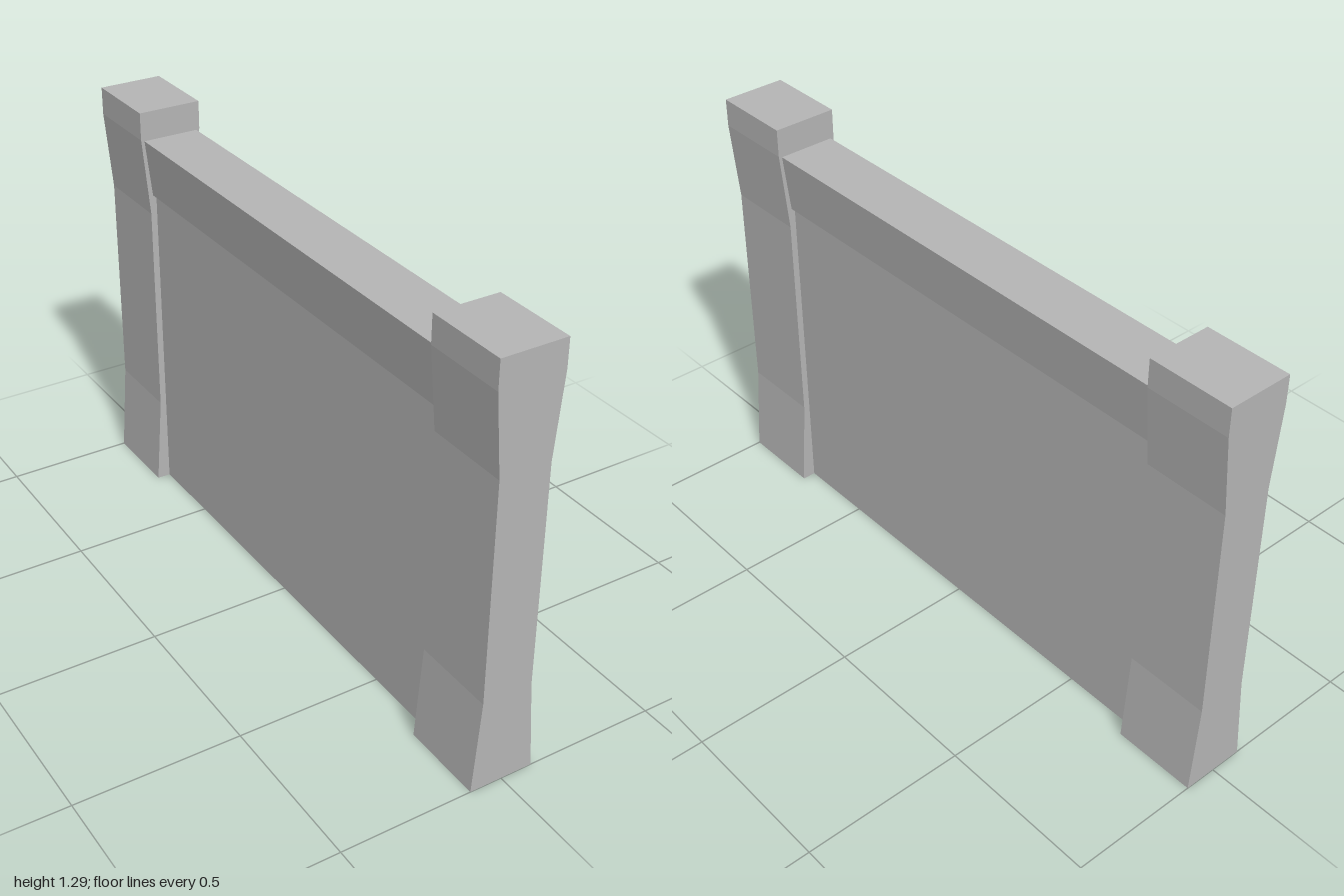
import * as THREE from 'three';

// Extrudes a left-right symmetric profile of [halfWidth, y] pairs along z
function profileBlock(name, profile, zMin, zMax, material) {
  const rightSide = profile.map(([w, y]) => new THREE.Vector2(w, y));
  const leftSide = profile.map(([w, y]) => new THREE.Vector2(-w, y)).reverse();
  const geometry = new THREE.ExtrudeGeometry(
    new THREE.Shape([...rightSide, ...leftSide]),
    { depth: zMax - zMin, bevelEnabled: false }
  );
  const mesh = new THREE.Mesh(geometry, material);
  mesh.name = name;
  mesh.position.z = zMin;
  return mesh;
}

export function createModel() {
  const stone = new THREE.MeshStandardMaterial({ color: 0xb4b4b4 });
  stone.name = 'grey stone';

  const model = new THREE.Group();
  model.name = 'wallSection';

  const postInner = 0.743;

  // End posts: flared foot, straight shaft, flared head
  const postProfile = [
    [0.099, 0], [0.077, 0.285], [0.077, 0.96], [0.099, 1.205], [0.099, 1.29],
  ];
  model.add(profileBlock('frontPost', postProfile, postInner, 1, stone));
  model.add(profileBlock('backPost', postProfile, -1, -postInner, stone));

  // Recessed panel between the posts
  const panelProfile = [[0.057, 0], [0.057, 1.02]];
  model.add(profileBlock('panel', panelProfile, -postInner, postInner, stone));

  // Coping that widens upward and overhangs the panel
  const copingProfile = [[0.068, 1.02], [0.088, 1.2]];
  model.add(profileBlock('coping', copingProfile, -postInner, postInner, stone));

  return model;
}
